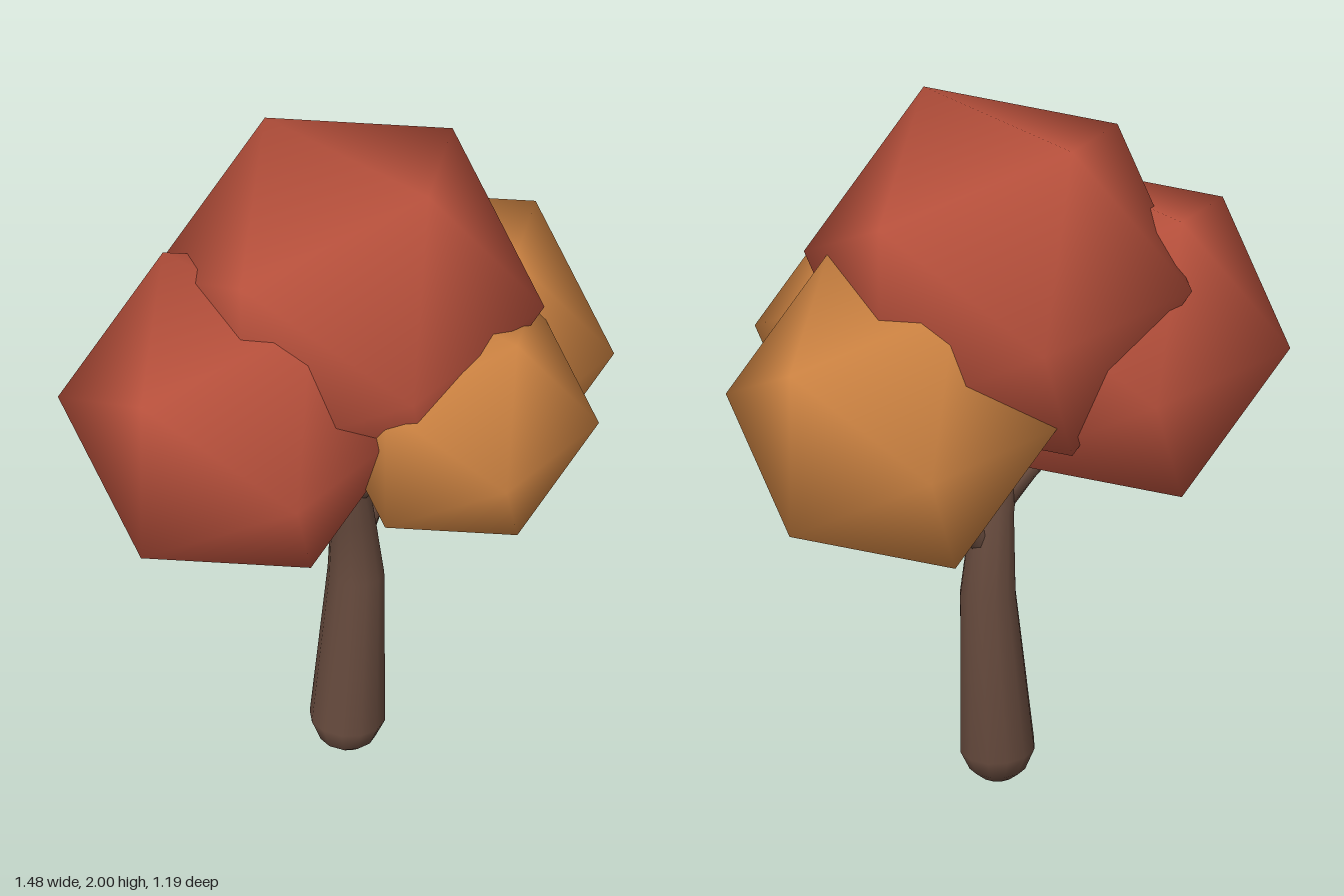
import * as THREE from 'three';
import { mergeVertices } from 'three/addons/utils/BufferGeometryUtils.js';

const paint = (name, color) => {
  const m = new THREE.MeshStandardMaterial({ color });
  m.name = name;
  return m;
};

// Icosahedron with smooth normals; h is half its extent along each axis
function crownGeometry(h) {
  const g = new THREE.IcosahedronGeometry(h / 0.8507, 0);
  g.deleteAttribute('normal');
  g.deleteAttribute('uv');
  g.rotateY(Math.PI / 2);
  const smooth = mergeVertices(g, 1e-4);
  smooth.computeVertexNormals();
  return smooth;
}

// Closed limb through horizontal or tilted rings given as [x, y, z, radius]
function limbGeometry(rings, sides) {
  const pts = rings.map(r => new THREE.Vector3(r[0], r[1], r[2]));
  const pos = [], idx = [];
  const up = new THREE.Vector3(0, 1, 0);
  rings.forEach((r, i) => {
    const dir = pts[Math.min(i + 1, pts.length - 1)].clone().sub(pts[Math.max(i - 1, 0)]).normalize();
    const q = new THREE.Quaternion().setFromUnitVectors(up, dir);
    for (let s = 0; s < sides; s++) {
      const a = (s / sides) * Math.PI * 2;
      const v = new THREE.Vector3(Math.sin(a) * r[3], 0, Math.cos(a) * r[3]).applyQuaternion(q).add(pts[i]);
      pos.push(v.x, v.y, v.z);
    }
  });
  const last = (rings.length - 1) * sides, tip = rings.length * sides;
  pos.push(...pts[0].toArray(), ...pts[pts.length - 1].toArray());
  for (let s = 0; s < sides; s++) {
    const n = (s + 1) % sides;
    for (let i = 0; i < rings.length - 1; i++) {
      const a = i * sides + s, b = i * sides + n;
      idx.push(a, b, b + sides, a, b + sides, a + sides);
    }
    idx.push(tip, n, s, tip + 1, last + s, last + n);
  }
  const g = new THREE.BufferGeometry();
  g.setAttribute('position', new THREE.Float32BufferAttribute(pos, 3));
  g.setIndex(idx);
  g.computeVertexNormals();
  return g;
}

export function createModel() {
  const tree = new THREE.Group();
  tree.name = 'autumnTree';
  const red = paint('red leaves', 0xbb523d);
  const orange = paint('orange leaves', 0xd08543);
  const bark = paint('bark', 0x664a3d);

  const add = (name, geometry, material) => {
    const mesh = new THREE.Mesh(geometry, material);
    mesh.name = name;
    tree.add(mesh);
    return mesh;
  };

  // Leaf masses: name, material, half extent, centre
  const crowns = [
    ['topCrown', red, 0.462, [0.01, 1.538, -0.07]],
    ['rightCrown', red, 0.418, [-0.327, 1.28, -0.183]],
    ['leftCrown', orange, 0.395, [0.345, 1.205, 0.005]],
    ['frontCrown', orange, 0.325, [0.085, 1.24, 0.265]],
  ];
  for (const [name, material, h, centre] of crowns) {
    add(name, crownGeometry(h), material).position.set(...centre);
  }

  // Bent trunk with a rounded foot
  add('trunk', limbGeometry([
    [0.005, 0.003, -0.063, 0.045],
    [0.005, 0.03, -0.063, 0.078],
    [0.005, 0.09, -0.063, 0.104],
    [0.042, 0.57, -0.063, 0.078],
    [0.005, 0.8, -0.045, 0.06],
    [-0.03, 0.97, -0.04, 0.055],
    [-0.04, 1.08, -0.04, 0.04],
  ], 12), bark);

  // Branches reaching into the leaf masses
  const branches = {
    leftBranch: [[0.03, 0.69, -0.05, 0.04], [0.09, 0.79, -0.04, 0.033], [0.21, 0.88, -0.02, 0.026], [0.32, 0.98, 0, 0.018]],
    rightBranch: [[-0.01, 0.82, -0.05, 0.04], [-0.08, 0.91, -0.09, 0.032], [-0.19, 1.01, -0.14, 0.02]],
    frontBranch: [[-0.02, 0.88, -0.04, 0.04], [0.02, 0.97, 0.05, 0.03], [0.06, 1.07, 0.16, 0.02]],
  };
  for (const [name, rings] of Object.entries(branches)) add(name, limbGeometry(rings, 8), bark);

  return tree;
}
